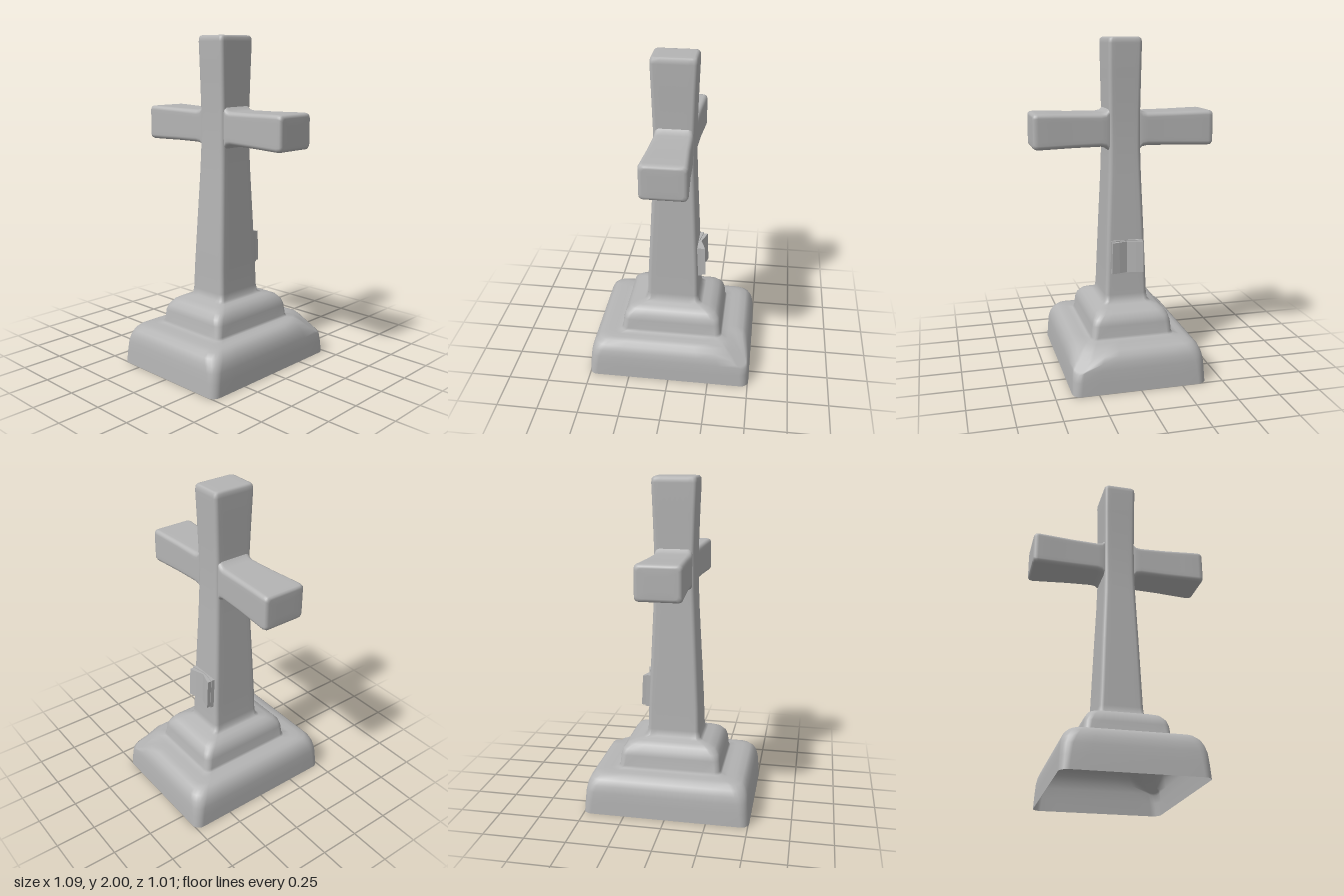
import * as THREE from 'three';

const stone = new THREE.MeshStandardMaterial({ color: 0xb4b4b4, side: THREE.DoubleSide });
stone.name = 'grey stone';

// Closed outline of a rounded rectangle, running from +x towards +z
function outline(hx, hz, r) {
  const pts = [], corner = 5, side = 7;
  const signs = [[1, 1], [-1, 1], [-1, -1], [1, -1]];
  signs.forEach(([sx, sz], q) => {
    for (let i = 0; i <= corner; i++) {
      const a = (q + i / corner) * Math.PI / 2;
      pts.push([sx * (hx - r) + r * Math.cos(a), sz * (hz - r) + r * Math.sin(a)]);
    }
    const [nx, nz] = signs[(q + 1) % 4];
    const [x0, z0] = pts[pts.length - 1];
    const a = (q + 1) * Math.PI / 2;
    const x1 = nx * (hx - r) + r * Math.cos(a), z1 = nz * (hz - r) + r * Math.sin(a);
    for (let i = 1; i < side; i++) {
      const t = i / side;
      pts.push([x0 + (x1 - x0) * t, z0 + (z1 - z0) * t]);
    }
  });
  return pts;
}

// Smooth skin over rings [height, half x, half z, corner radius, z shift], closed at the top
function loft(rings, shape = (x, y) => y) {
  const pos = [], index = [];
  let n = 0;
  for (const [y, hx, hz, r, dz = 0] of rings) {
    const pts = outline(hx, hz, r);
    n = pts.length;
    for (const [x, z] of pts) pos.push(x, shape(x, y, z + dz), z + dz);
  }
  for (let j = 0; j < rings.length - 1; j++) {
    for (let k = 0; k < n; k++) {
      const a = j * n + k, b = j * n + (k + 1) % n;
      index.push(a, a + n, b, b, a + n, b + n);
    }
  }
  const last = rings[rings.length - 1];
  const centre = pos.length / 3, top = (rings.length - 1) * n;
  pos.push(0, last[0], last[4] || 0);
  for (let k = 0; k < n; k++) index.push(centre, top + (k + 1) % n, top + k);
  const g = new THREE.BufferGeometry();
  g.setAttribute('position', new THREE.Float32BufferAttribute(pos, 3));
  g.setIndex(index);
  g.computeVertexNormals();
  return g;
}

function add(group, name, geometry) {
  const mesh = new THREE.Mesh(geometry, stone);
  mesh.name = name;
  group.add(mesh);
  return mesh;
}

export function createModel() {
  const model = new THREE.Group();
  model.name = 'stoneCross';

  // Hollow stepped base running up into the tapering shaft
  const rings = [
    [0, 0.4, 0.505, 0.05], [0.08, 0.396, 0.5, 0.055], [0.14, 0.392, 0.495, 0.06],
    [0.18, 0.384, 0.488, 0.07], [0.215, 0.368, 0.473, 0.075], [0.238, 0.343, 0.448, 0.07],
    [0.246, 0.315, 0.405, 0.06], [0.249, 0.285, 0.36, 0.05], [0.252, 0.255, 0.322, 0.04],
    [0.265, 0.245, 0.312, 0.035], [0.33, 0.239, 0.306, 0.04], [0.365, 0.229, 0.296, 0.045],
    [0.395, 0.208, 0.27, 0.05], [0.412, 0.178, 0.228, 0.04], [0.419, 0.15, 0.187, 0.03],
    [0.43, 0.133, 0.166, 0.025, 0.003], [0.47, 0.128, 0.16, 0.025, 0.004],
    [0.62, 0.122, 0.156, 0.025, 0.004], [0.9, 0.112, 0.143, 0.025, 0.003],
    [1.2, 0.1, 0.129, 0.025, 0.002], [1.36, 0.096, 0.123, 0.025, 0.002],
    [1.57, 0.095, 0.121, 0.022, 0.002], [1.8, 0.098, 0.128, 0.022, 0.002],
    [1.965, 0.1, 0.134, 0.022, 0.002], [1.988, 0.098, 0.131, 0.022, 0.002],
    [1.998, 0.09, 0.123, 0.02, 0.002], [2, 0.08, 0.112, 0.02, 0.002], [2, 0.04, 0.06, 0.01, 0.002],
  ];
  // Broken back-left corner of the lower step
  const chip = (x, y, z) => (y > 0.26 ? y : Math.min(y, 0.252 - 0.55 * Math.max(0, x - z - 0.62)));
  add(model, 'baseAndShaft', loft(rings, chip));

  // Arms, flaring at the ends and filleted into the shaft
  const armRings = [
    [0.07, 0.14, 0.106, 0.03], [0.094, 0.122, 0.111, 0.03], [0.11, 0.105, 0.114, 0.03],
    [0.14, 0.098, 0.116, 0.028], [0.3, 0.099, 0.121, 0.025], [0.42, 0.102, 0.129, 0.025],
    [0.512, 0.104, 0.135, 0.025], [0.532, 0.101, 0.132, 0.025],
    [0.541, 0.093, 0.123, 0.022], [0.543, 0.082, 0.11, 0.02], [0.543, 0.04, 0.05, 0.01],
  ];
  for (const side of [1, -1]) {
    const arm = add(model, side > 0 ? 'leftArm' : 'rightArm', loft(armRings));
    arm.rotation.z = -side * Math.PI / 2;
    arm.position.y = 1.466;
  }

  // Open book on the back of the shaft: cover plate and pages sloping to the spine
  const book = new THREE.Group();
  book.name = 'openBook';
  const slab = (name, points, height, y) => {
    const shape = new THREE.Shape(points.map(([x, d]) => new THREE.Vector2(x, d)));
    const g = new THREE.ExtrudeGeometry(shape, { depth: height, bevelEnabled: false });
    add(book, name, g.rotateX(-Math.PI / 2)).position.y = y;
  };
  slab('cover', [[-0.097, 0.13], [0.097, 0.13], [0.097, 0.176], [0, 0.158], [-0.097, 0.176]], 0.2, 0);
  slab('pages', [[-0.091, 0.15], [0.091, 0.15], [0.094, 0.2], [0.05, 0.188], [0, 0.17],
    [-0.05, 0.188], [-0.094, 0.2]], 0.188, 0.006);
  book.position.y = 0.6;
  book.rotation.x = 0.045;
  model.add(book);

  return model;
}
